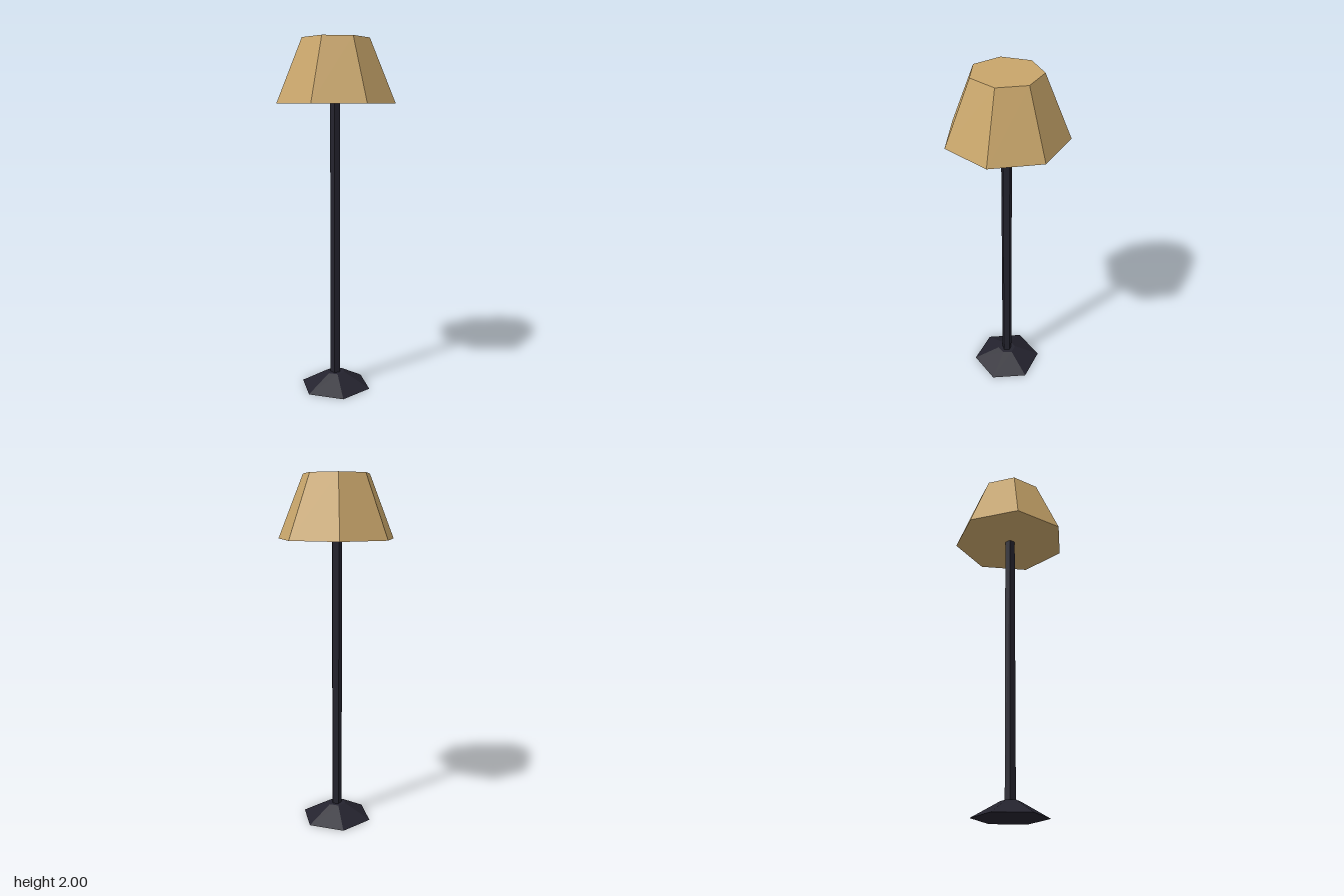
import * as THREE from 'three';

export function createModel() {
  const model = new THREE.Group();
  model.name = 'floorLamp';

  const fabric = new THREE.MeshStandardMaterial({ color: 0xc8a56a, flatShading: true });
  fabric.name = 'tan shade';
  const metal = new THREE.MeshStandardMaterial({ color: 0x24232e, flatShading: true });
  metal.name = 'dark metal';

  // The shared axis sits slightly off centre so the heptagonal shade is centred in x
  const axisX = -0.0165;

  // Closed prism or frustum between two heights, one corner pointing to +x
  function frustum(name, topRadius, bottomRadius, y0, y1, sides, material) {
    const geometry = new THREE.CylinderGeometry(
      topRadius, bottomRadius, y1 - y0, sides, 1, false, Math.PI / 2);
    const mesh = new THREE.Mesh(geometry, material);
    mesh.name = name;
    mesh.position.set(axisX, (y0 + y1) / 2, 0);
    model.add(mesh);
  }

  frustum('base', 0.054, 0.207, 0, 0.085, 6, metal);
  frustum('pole', 0.03, 0.03, 0.04, 1.66, 5, metal);
  frustum('shade', 0.188, 0.3325, 1.65, 2, 7, fabric);

  return model;
}
